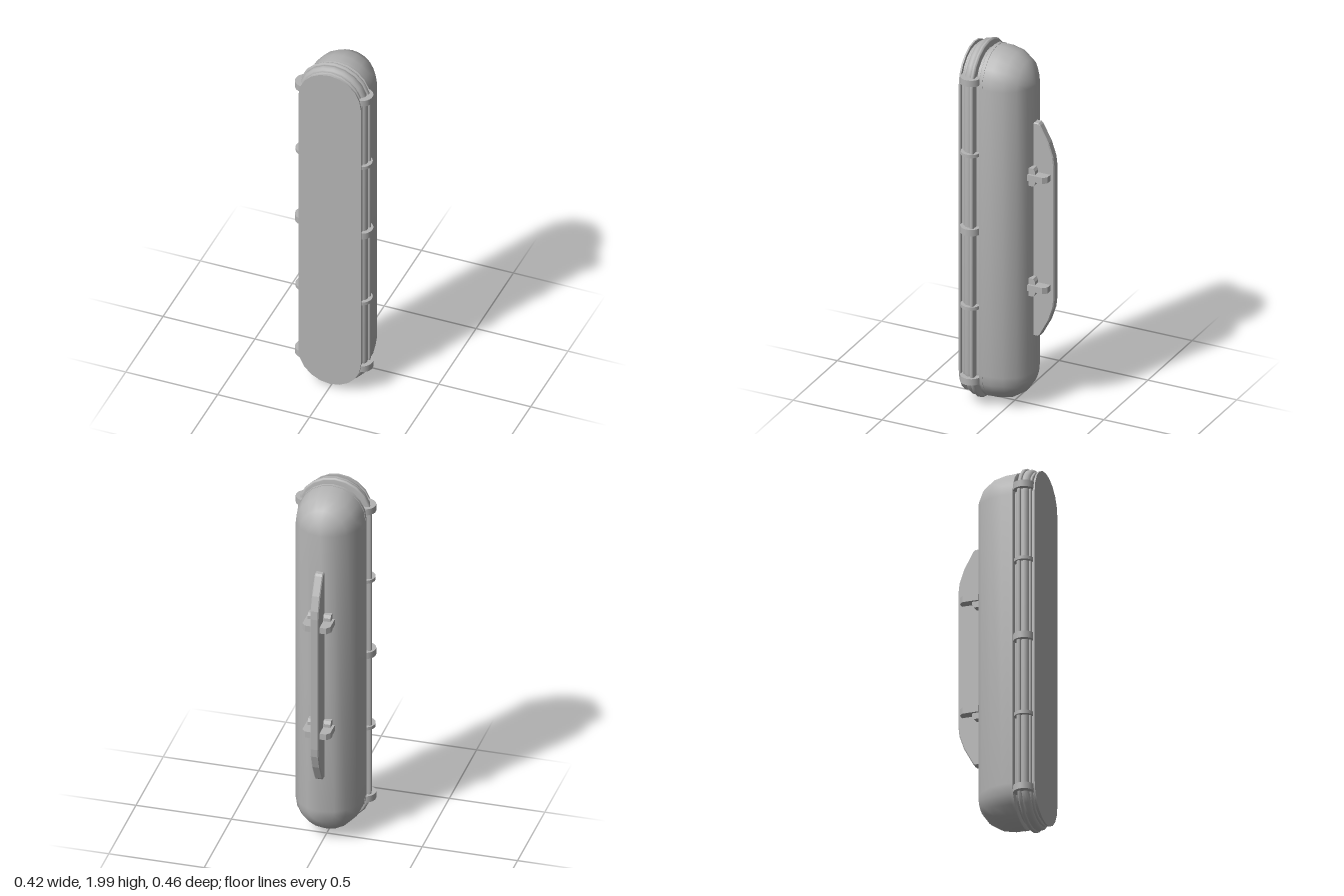
import * as THREE from 'three';
import { toCreasedNormals } from 'three/addons/utils/BufferGeometryUtils.js';

const MID = 1.003;   // height of the model's centre
const HALF = 0.804;  // half length of the straight sides
const ARC = 10;      // segments in each rounded end

const grey = new THREE.MeshStandardMaterial({ color: 0xb4b4b4 });
grey.name = 'grey';

function addMesh(parent, name, geometry, x = 0, y = 0, z = 0) {
  const mesh = new THREE.Mesh(geometry, grey);
  mesh.name = name;
  mesh.position.set(x, y, z);
  parent.add(mesh);
  return mesh;
}

// Sweeps a [radius, z] profile, given back to front, around a stadium outline
function stadium(profile) {
  const outline = [];
  for (const end of [0, 1]) {
    for (let i = 0; i <= ARC; i++) {
      const a = Math.PI * (end + i / ARC);
      outline.push([Math.cos(a), Math.sin(a), end ? -HALF : HALF]);
    }
  }
  const n = outline.length;
  const positions = [];
  const index = [];
  for (const [r, z] of profile) {
    for (const [c, s, shift] of outline) positions.push(c * r, s * r + shift, z);
  }
  for (let k = 0; k < profile.length - 1; k++) {
    for (let i = 0; i < n; i++) {
      const a = k * n + i, b = k * n + (i + 1) % n;
      index.push(a, b, b + n, a, b + n, a + n);
    }
  }
  const geometry = new THREE.BufferGeometry();
  geometry.setAttribute('position', new THREE.Float32BufferAttribute(positions, 3));
  geometry.setIndex(index);
  return toCreasedNormals(geometry, 0.65);
}

// Rounded bead profile centred at radius r and depth z
function bead(r, z, dr, dz) {
  const points = [];
  for (let i = 0; i <= 6; i++) {
    const a = -Math.PI / 2 + Math.PI * i / 6;
    points.push([r + dr * Math.cos(a), z + dz * Math.sin(a)]);
  }
  return [[0.12, z - dz], ...points, [0.12, z + dz]];
}

// Extrudes an outline of [u, v] points, centred on its depth
function slab(points, depth, bevel = 0) {
  const shape = new THREE.Shape(points.map(([u, v]) => new THREE.Vector2(u, v)));
  const geometry = new THREE.ExtrudeGeometry(shape, {
    depth: depth - 2 * bevel, bevelEnabled: bevel > 0,
    bevelThickness: bevel, bevelSize: bevel, bevelOffset: -bevel, bevelSegments: 1,
  });
  return geometry.translate(0, 0, bevel - depth / 2);
}

export function createModel() {
  const model = new THREE.Group();
  model.name = 'capsuleCase';

  // Domed back shell
  addMesh(model, 'shell', stadium([
    [0, -0.12], [0.07, -0.105], [0.122, -0.07], [0.16, -0.01], [0.174, 0.055],
    [0.174, 0.098], [0.176, 0.098], [0.176, 0.115], [0.165, 0.121], [0, 0.121],
  ]), 0, MID);

  // Neck and beads of the seal
  addMesh(model, 'neck', stadium([[0.152, 0.11], [0.152, 0.228]]), 0, MID);
  addMesh(model, 'largeBead', stadium(bead(0.183, 0.152, 0.01, 0.011)), 0, MID);
  addMesh(model, 'middleBead', stadium(bead(0.165, 0.175, 0.02, 0.025)), 0, MID);
  addMesh(model, 'smallBead', stadium(bead(0.16, 0.204, 0.008, 0.008)), 0, MID);

  // Flat front lid
  addMesh(model, 'lid', stadium([[0, 0.223], [0.17, 0.223], [0.17, 0.232], [0, 0.232]]), 0, MID);

  // Round clasps down both sides, alternately thick and thin
  [-0.84, -0.429, 0, 0.429, 0.84].forEach((y, i) => {
    const height = i % 2 ? 0.018 : 0.036;
    const radius = i % 2 ? 0.053 : 0.056;
    for (const side of [-1, 1]) {
      addMesh(model, 'clasp', new THREE.CylinderGeometry(radius, radius, height, 28),
        side * 0.153, MID + y, 0.17);
    }
  });

  // Fin along the back; outline is [distance behind centre, height]
  const upper = [[0.23, 0.38], [0.225, 0.425], [0.2, 0.5], [0.152, 0.59], [0.142, 0.6], [0.09, 0.6]];
  const lower = upper.map(([u, v]) => [u, -v]).reverse();
  const fin = addMesh(model, 'fin', slab([...lower, ...upper], 0.044, 0.005), 0, MID);
  fin.rotation.y = Math.PI / 2;

  // Brackets crossing the fin
  for (const y of [-0.31, 0.31]) {
    const bracket = new THREE.Group();
    bracket.name = 'bracket';
    bracket.position.y = MID + y;
    model.add(bracket);

    const bar = addMesh(bracket, 'bracketBar', slab([
      [-0.073, 0.105], [0.073, 0.105], [0.073, 0.19], [0.055, 0.21], [-0.055, 0.21], [-0.073, 0.19],
    ], 0.034));
    bar.rotation.x = -Math.PI / 2;

    const foot = addMesh(bracket, 'bracketFoot', slab([
      [0.1, -0.05], [0.132, -0.05], [0.142, -0.035], [0.142, 0.035], [0.132, 0.05], [0.1, 0.05],
    ], 0.12));
    foot.rotation.y = Math.PI / 2;
  }
  return model;
}
